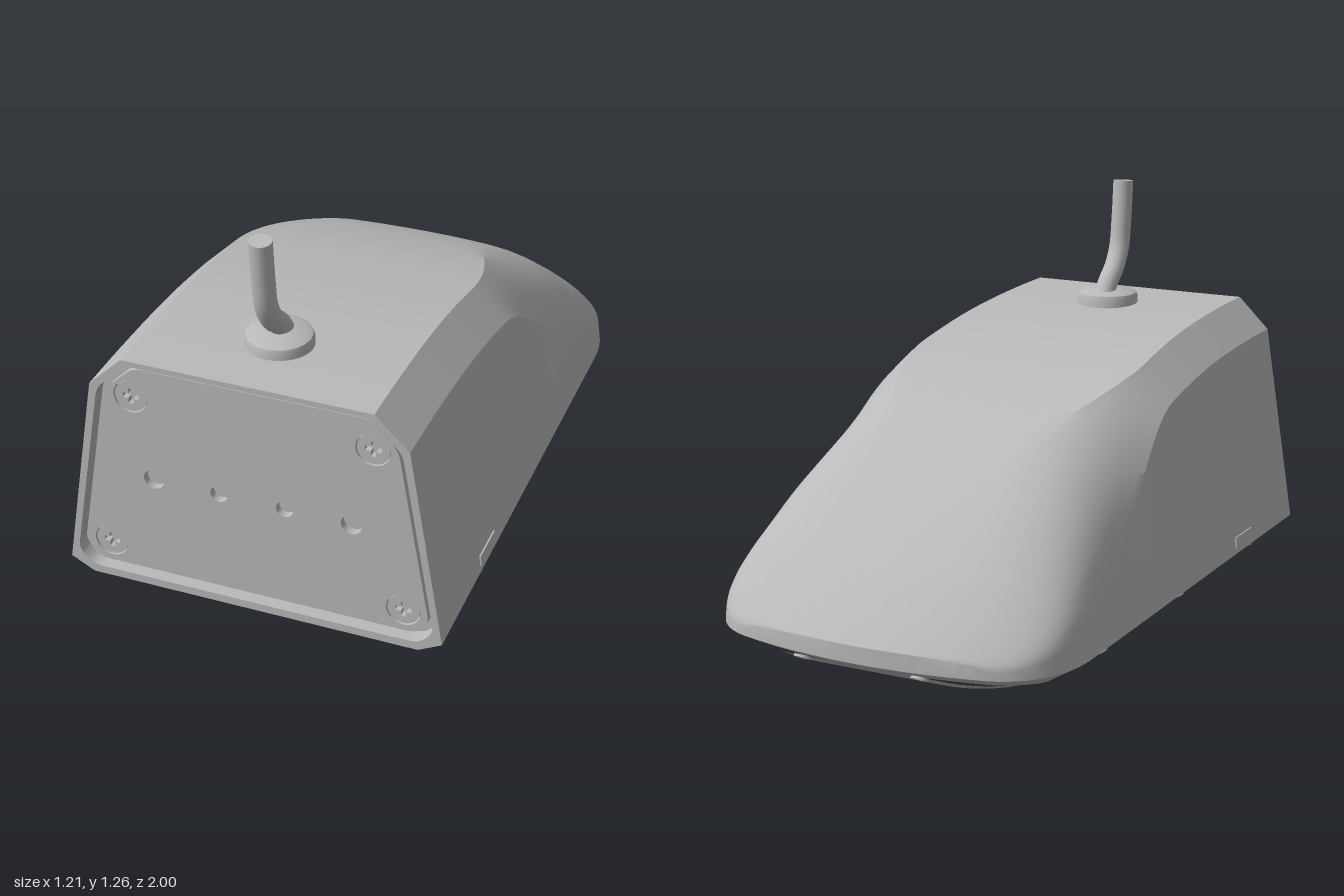
import * as THREE from 'three';
import { toCreasedNormals } from 'three/addons/utils/BufferGeometryUtils.js';

const { lerp, smoothstep } = THREE.MathUtils;
const V = (x, y, z) => new THREE.Vector3(x, y, z);

// Skin closed rings (counter-clockwise seen from the first ring's side).
function loft(rings, crease = 0.45) {
  const n = rings[0].length, pos = [], idx = [];
  rings.forEach(r => r.forEach(p => pos.push(p.x, p.y, p.z)));
  for (let i = 0; i < rings.length - 1; i++) {
    for (let j = 0; j < n; j++) {
      const k = (j + 1) % n, a = i * n + j, b = a + n, c = i * n + k, d = c + n;
      idx.push(a, b, c, c, b, d);
    }
  }
  const g = new THREE.BufferGeometry();
  g.setAttribute('position', new THREE.Float32BufferAttribute(pos, 3));
  g.setIndex(idx);
  return toCreasedNormals(g, crease);
}

// Top line of the housing as (z, height).
const topLine = new THREE.SplineCurve([
  [0.95, 0.855], [0.8, 0.852], [0.6, 0.843], [0.4, 0.825], [0.2, 0.795], [0, 0.755],
  [-0.2, 0.695], [-0.4, 0.61], [-0.6, 0.495], [-0.8, 0.345], [-0.92, 0.23], [-1, 0.14],
].map(p => new THREE.Vector2(...p)));

// One cross-section: chamfered at the front, rounded and bowed toward the back.
function section(t) {
  const { x: s, y: H } = topLine.getPoint(t);
  const u = Math.min(1, Math.max(0, (-0.72 - s) / 0.28));
  const W = 0.4 + 0.205 * Math.pow(1 - u ** 3, 0.45);
  const k = 1 - smoothstep(s, -0.6, 0.15);
  const back = 1 - smoothstep(s, -1, -0.8);
  const bow = 1 - smoothstep(s, -0.9, 0);
  const inset = 0.075 * (1 - 0.5 * back);
  const half = [];
  const add = (x, y, dz = 0) => half.push(V(x, y, s + dz + 0.05 * bow * (x / 0.4) ** 2));
  const side = y => W - 0.16 * (y - 0.09);
  for (let i = 0; i <= 6; i++) add((W - inset) * i / 6, 0.045, 0.075 * back);
  add(W, 0.085);
  const ay = H - lerp(0.105, 0.65 * (H - 0.09), k);
  const A = [side(ay), ay], C = [side(H), H], B = [C[0] - lerp(0.09, 0.3, k), H];
  for (let i = 0; i <= 10; i++) {
    const q = i / 10;
    const p = [0, 1].map(e => lerp(lerp(A[e], B[e], q),
      (1 - q) ** 2 * A[e] + 2 * q * (1 - q) * C[e] + q * q * B[e], k));
    add(p[0], p[1]);
  }
  for (let i = 1; i <= 6; i++) add(B[0] * (1 - i / 6), H);
  const mirrored = half.slice(1, -1).reverse().map(p => V(-p.x, p.y, p.z));
  return [...half, ...mirrored];
}

// Rounded rectangle ring lying in the xz plane.
function padRing(y, w, z0, z1, r) {
  const ring = [], cz = (z0 + z1) / 2, hz = (z0 - z1) / 2;
  for (let c = 0; c < 4; c++) {
    const sx = c === 0 || c === 3 ? 1 : -1, sz = c < 2 ? -1 : 1;
    for (let i = 0; i <= 10; i++) {
      const a = (c + i / 10) * Math.PI / 2;
      ring.push(V(sx * (w - r) + r * Math.cos(a), y, cz + sz * (hz - r) - r * Math.sin(a)));
    }
  }
  return ring;
}

// Symmetric polygon with softened corners, from its right half.
function softShape(half, r) {
  const pts = [...half, ...half.slice().reverse().map(([x, y]) => [-x, y])]
    .map(p => new THREE.Vector2(...p));
  const shape = new THREE.Shape(), n = pts.length;
  pts.forEach((p, i) => {
    const toward = q => p.clone().add(q.clone().sub(p).setLength(r));
    const a = toward(pts[(i + n - 1) % n]), b = toward(pts[(i + 1) % n]);
    if (i === 0) shape.moveTo(a.x, a.y); else shape.lineTo(a.x, a.y);
    shape.quadraticCurveTo(p.x, p.y, b.x, b.y);
  });
  shape.closePath();
  return shape;
}

function circle(x, y, r) {
  const p = new THREE.Path();
  p.absarc(x, y, r, 0, Math.PI * 2, true);
  return p;
}

const extrude = (shape, depth) =>
  new THREE.ExtrudeGeometry(shape, { depth, bevelEnabled: false, curveSegments: 14 });

// Flat screw head with a cross recess, facing +z.
function screwGeometry(r, depth) {
  const s = new THREE.Shape();
  s.absarc(0, 0, r, 0, Math.PI * 2, false);
  const a = r * 0.5, b = r * 0.16;
  s.holes.push(new THREE.Path([[a, -b], [a, b], [b, b], [b, a], [-b, a], [-b, b], [-a, b], [-a, -b],
    [-b, -b], [-b, -a], [b, -a], [b, -b]].map(p => new THREE.Vector2(...p))));
  return extrude(s, depth);
}

export function createModel() {
  const group = new THREE.Group();
  const grey = new THREE.MeshStandardMaterial({ color: 0xbababa });
  grey.name = 'housing grey';
  const dark = new THREE.MeshStandardMaterial({ color: 0x707070 });
  dark.name = 'seam grey';
  const add = (name, geo, x = 0, y = 0, z = 0, mat = grey) => {
    const m = new THREE.Mesh(geo, mat);
    m.name = name;
    m.position.set(x, y, z);
    group.add(m);
    return m;
  };

  // Housing, closed at the back along a bowed edge
  const rings = [];
  for (let i = 0; i <= 72; i++) rings.push(section(1 - Math.pow(1 - i / 72, 1.7)));
  const last = rings[rings.length - 1];
  rings.push(last.map(p => {
    const x = p.y < 0.05 ? p.x * 0.4 / 0.3625 : p.x;
    return V(x, 0.085, -1 + 0.05 * (x / 0.4) ** 2);
  }));
  add('housing', loft(rings));

  // Raised pad underneath
  const pad = [
    padRing(0.046, 0.53, 0.44, -0.92, 0.26),
    padRing(0.022, 0.488, 0.37, -0.88, 0.25),
    padRing(0.005, 0.46, 0.33, -0.85, 0.24),
    padRing(0, 0.445, 0.31, -0.835, 0.23),
  ];
  pad.push(pad[3].map(() => V(0, 0, -0.26)));
  add('bottomPad', loft(pad, 0.5));

  // Front rim
  const outline = rings[0].map(p => new THREE.Vector2(p.x, p.y));
  const rim = new THREE.Shape(outline);
  const opening = softShape([[0.53, 0.072], [0.578, 0.12], [0.477, 0.74], [0.378, 0.837]], 0.03);
  rim.holes.push(new THREE.Path(opening.getPoints(6)));
  add('frontRim', extrude(rim, 0.05), 0, 0, 0.95);
  add('frontRecess', new THREE.ShapeGeometry(new THREE.Shape(outline)), 0, 0, 0.951);

  // Front panel with four light holes and corner screws
  const panel = softShape([[0.515, 0.088], [0.556, 0.13], [0.457, 0.73], [0.367, 0.818]], 0.03);
  [[-0.318, 0.033], [-0.107, 0.027], [0.103, 0.027], [0.313, 0.033]]
    .forEach(([x, r]) => panel.holes.push(circle(x, 0.432, r)));
  const corners = [];
  for (const s of [1, -1]) corners.push([s * 0.38, 0.715], [s * 0.475, 0.162]);
  corners.forEach(([x, y]) => panel.holes.push(circle(x, y, 0.054)));
  add('frontPanel', extrude(panel, 0.027), 0, 0, 0.95);
  const head = screwGeometry(0.051, 0.022);
  corners.forEach(([x, y]) => add('panelScrew', head, x, y, 0.951));

  // Bottom screws, side latches and the seam across the underside
  const small = screwGeometry(0.028, 0.008);
  for (const s of [1, -1]) {
    const spots = [
      [0.565, 0.064, 0.06, V(0.47, -0.88, 0)], [0.565, 0.064, -0.52, V(0.47, -0.88, 0)],
      [0.2, 0.062, -0.955, V(0, -0.88, -0.47)], [0.38, 0.046, 0.53, V(0, -1, 0)],
    ];
    spots.forEach(([x, y, z, n]) => {
      const m = add('bottomScrew', small, s * x, y, z);
      n.x *= s;
      m.quaternion.setFromUnitVectors(V(0, 0, 1), n.normalize());
    });
    const latch = add('sideLatch', new THREE.BoxGeometry(0.008, 0.034, 0.14), s * 0.6, 0.122, 0.56);
    latch.rotation.z = s * 0.16;
    const seam = add('sideSeam', new THREE.BoxGeometry(0.086, 0.006, 0.012), s * 0.568, 0.0645, 0.625, dark);
    seam.rotation.z = s * 0.49;
  }
  add('bottomSeam', new THREE.BoxGeometry(1.06, 0.006, 0.012), 0, 0.045, 0.625, dark);

  // Cable collar and cable
  const collar = [[0, 0.895], [0.085, 0.893], [0.1, 0.885], [0.105, 0.87], [0.105, 0.82]]
    .reverse().map(p => new THREE.Vector2(...p));
  add('cableCollar', toCreasedNormals(new THREE.LatheGeometry(collar, 40), 0.7), 0, 0, 0.742);
  const path = new THREE.CatmullRomCurve3([
    V(0, 0.86, 0.7), V(0, 0.915, 0.74), V(0, 0.965, 0.795), V(0, 1.03, 0.833),
    V(0, 1.13, 0.85), V(0, 1.26, 0.862),
  ]);
  add('cable', new THREE.TubeGeometry(path, 36, 0.035, 20));
  const end = add('cableEnd', new THREE.CircleGeometry(0.035, 20), 0, 1.26, 0.862);
  end.quaternion.setFromUnitVectors(V(0, 0, 1), path.getTangent(1));

  return group;
}
